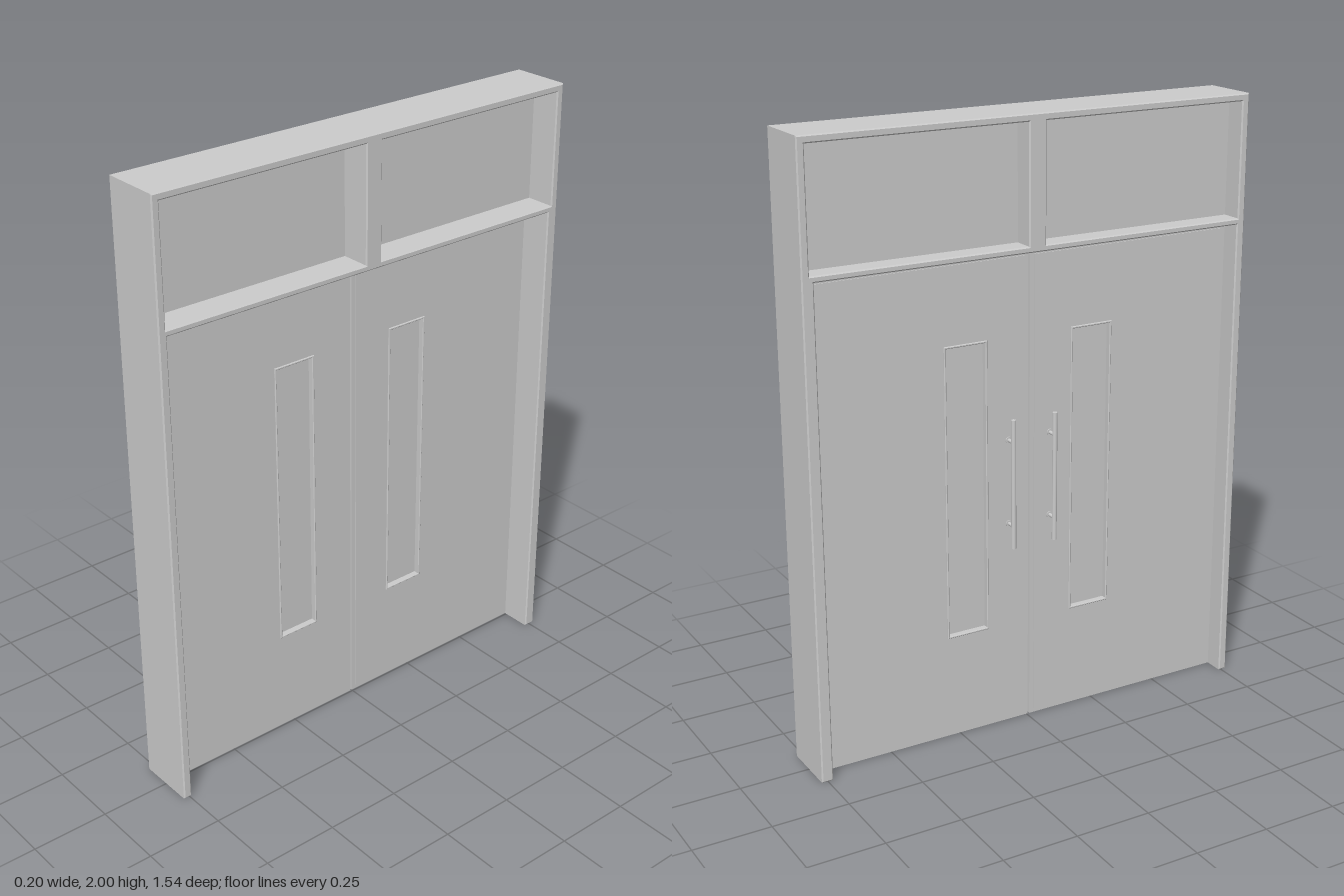
import * as THREE from 'three';

const mat = new THREE.MeshStandardMaterial({ color: 0xcccccc, flatShading: true });
const smooth = new THREE.MeshStandardMaterial({ color: 0xcccccc });

const DOOR_X = -0.02;   // middle plane of the leaves and panes
const SHIFT = 0.005;    // the door opening sits slightly off centre

// Rectangle path in (z, y)
function rect(z0, y0, z1, y1, Type = THREE.Shape) {
  const p = new Type();
  p.moveTo(z0, y0);
  p.lineTo(z1, y0);
  p.lineTo(z1, y1);
  p.lineTo(z0, y1);
  p.closePath();
  return p;
}

// Extrudes a (z, y) shape through thickness t, centred on plane x
function slab(name, shape, t, x, bevel = 0) {
  const g = new THREE.ExtrudeGeometry(shape, {
    depth: t - 2 * bevel, bevelEnabled: bevel > 0, bevelThickness: bevel,
    bevelSize: bevel, bevelOffset: -bevel, bevelSegments: 1,
  });
  g.translate(0, 0, bevel - t / 2);
  g.rotateY(-Math.PI / 2); // shape x becomes +z
  g.translate(x, 0, 0);
  const m = new THREE.Mesh(g, mat);
  m.name = name;
  return m;
}

function rod(name, r, length, pos, alongX) {
  const m = new THREE.Mesh(new THREE.CylinderGeometry(r, r, length, 16), smooth);
  m.name = name;
  if (alongX) m.rotation.z = Math.PI / 2;
  m.position.set(...pos);
  return m;
}

// Outer frame: jambs, head, rail and mullion with two transom openings
function makeFrame() {
  const l = 0.737 + SHIFT, r = -0.737 + SHIFT;
  const s = new THREE.Shape([
    [-0.77, 0], [r, 0], [r, 1.583], [l, 1.583], [l, 0], [0.77, 0], [0.77, 2], [-0.77, 2],
  ].map(([z, y]) => new THREE.Vector2(z, y)));
  for (const k of [-1, 1]) {
    const a = k < 0 ? -0.745 : 0.03, b = k < 0 ? -0.03 : 0.745;
    s.holes.push(rect(a, 1.603, b, 1.976, THREE.Path));
  }
  return slab('frame', s, 0.2, 0, 0.004);
}

// One leaf with a raised skin, a narrow lite and a pull handle
function makeLeaf(side) {
  const leaf = new THREE.Group();
  leaf.name = side > 0 ? 'leftDoor' : 'rightDoor';
  const span = (a, b) => side > 0 ? [a, b] : [-b, -a];
  const box = (a, y0, b, y1, Type) => {
    const [z0, z1] = span(a, b);
    return rect(z0, y0, z1, y1, Type);
  };
  const lite = () => box(0.15, 0.35, 0.3, 1.315, THREE.Path);

  const core = box(0.003, 0.003, 0.734, 1.578);
  core.holes.push(lite());
  leaf.add(slab('doorCore', core, 0.036, DOOR_X));

  const skin = box(0.018, 0.018, 0.719, 1.563);
  skin.holes.push(lite());
  leaf.add(slab('doorSkin', skin, 0.042, DOOR_X));

  const bead = box(0.15, 0.35, 0.3, 1.315);
  bead.holes.push(box(0.157, 0.357, 0.293, 1.308, THREE.Path));
  leaf.add(slab('liteBead', bead, 0.05, DOOR_X, 0.002));
  leaf.add(slab('liteGlass', box(0.155, 0.355, 0.295, 1.31), 0.012, DOOR_X));

  // Pull handle on the -x face only
  const handle = new THREE.Group();
  handle.name = 'pullHandle';
  const z = side * 0.075;
  handle.add(rod('handleBar', 0.008, 0.43, [-0.072, 0.84, z], false));
  for (const y of [0.7, 0.98]) {
    handle.add(rod('handlePost', 0.006, 0.036, [-0.055, y, z], true));
    handle.add(rod('handleRosette', 0.011, 0.004, [-0.042, y, z], true));
  }
  leaf.add(handle);
  leaf.position.z = SHIFT;
  return leaf;
}

export function createModel() {
  const model = new THREE.Group();
  model.name = 'doubleDoor';
  model.add(makeFrame());
  for (const side of [1, -1]) {
    model.add(makeLeaf(side));
    // Transom pane above each leaf
    const [a, b] = side > 0 ? [0.028, 0.747] : [-0.747, -0.028];
    model.add(slab('transomPane', rect(a, 1.601, b, 1.978), 0.03, -0.015));
  }
  return model;
}
